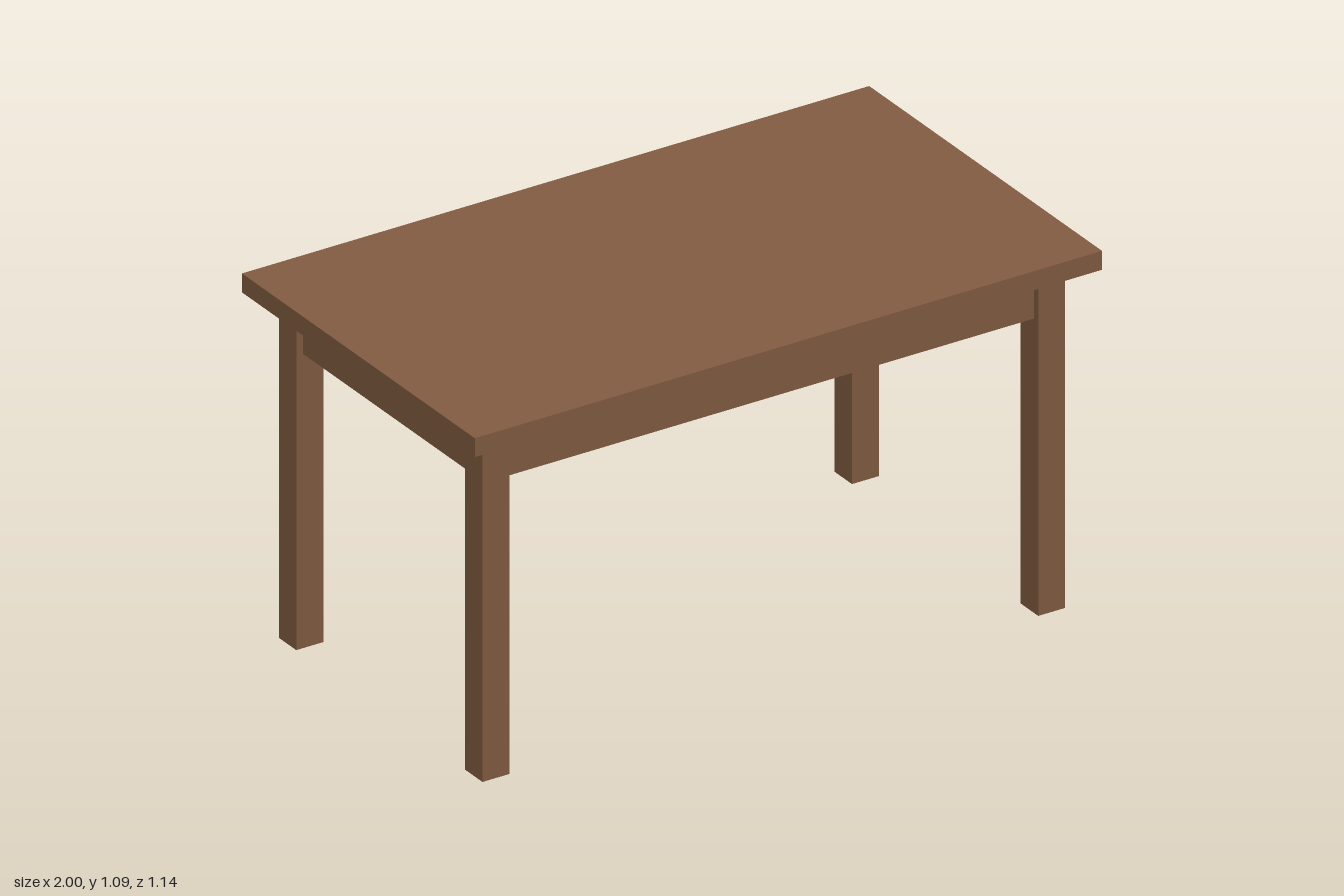
import * as THREE from 'three';

export function createModel() {
  const table = new THREE.Group();
  table.name = 'table';
  const wood = new THREE.MeshStandardMaterial({ color: 0x805b40 });
  wood.name = 'brown wood';

  const addBox = (name, w, h, d, x, y, z) => {
    const mesh = new THREE.Mesh(new THREE.BoxGeometry(w, h, d), wood);
    mesh.name = name;
    mesh.position.set(x, y, z);
    table.add(mesh);
  };

  const legHeight = 1.029, leg = 0.086, legX = 0.886, legZ = 0.457;
  const topThickness = 0.057, apronHeight = 0.143, apronThickness = 0.043;
  const apronY = legHeight - apronHeight / 2;

  // Overhanging slab
  addBox('tabletop', 2, topThickness, 1.143, 0, legHeight + topThickness / 2, 0);

  // Four square legs, one at each corner
  for (const [side, sx] of [['Left', 1], ['Right', -1]]) {
    for (const [end, sz] of [['front', 1], ['back', -1]]) {
      addBox(`${end}${side}Leg`, leg, legHeight, leg, sx * legX, legHeight / 2, sz * legZ);
    }
  }

  // Aprons centred on the legs and running between their inner faces
  for (const s of [1, -1]) {
    addBox(s > 0 ? 'frontApron' : 'backApron',
      2 * legX - leg, apronHeight, apronThickness, 0, apronY, s * legZ);
    addBox(s > 0 ? 'leftApron' : 'rightApron',
      apronThickness, apronHeight, 2 * legZ - leg, s * legX, apronY, 0);
  }
  return table;
}
